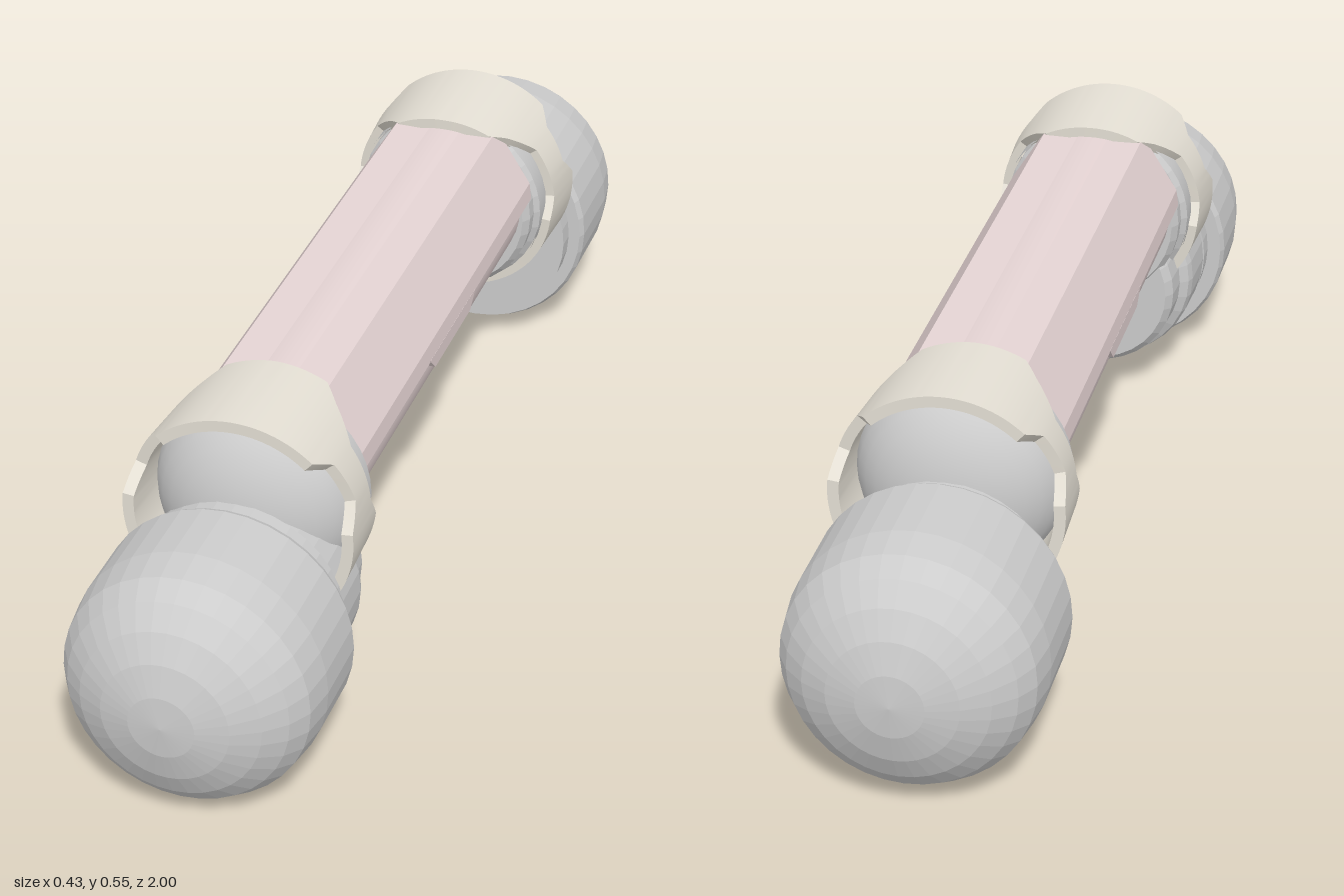
import * as THREE from 'three';
import { toCreasedNormals } from 'three/addons/utils/BufferGeometryUtils.js';

const grey = new THREE.MeshStandardMaterial({ color: 0xcccccc });
const greyFlat = new THREE.MeshStandardMaterial({ color: 0xcccccc, flatShading: true });
const pink = new THREE.MeshStandardMaterial({ color: 0xe5d4d4 });
const beige = new THREE.MeshStandardMaterial({ color: 0xe4dfd4 });

function add(parent, name, geometry, material, x = 0, y = 0, z = 0) {
  const mesh = new THREE.Mesh(geometry, material);
  mesh.name = name;
  mesh.position.set(x, y, z);
  parent.add(mesh);
  return mesh;
}

// Turned solid along z; profile is [radius, z] pairs with rising z
function turned(profile, sides = 32) {
  const g = new THREE.LatheGeometry(profile.map(([r, z]) => new THREE.Vector2(r, z)), sides);
  return g.rotateX(Math.PI / 2);
}

// Extrude an outline along z, from z0 to z1
function prism(points, z0, z1) {
  const shape = new THREE.Shape(points.map(([x, y]) => new THREE.Vector2(x, y)));
  return new THREE.ExtrudeGeometry(shape, { depth: z1 - z0, bevelEnabled: false }).translate(0, 0, z0);
}

// Linear lookup in a list of [angle, value] pairs
function lookup(table, a) {
  for (let i = 1; i < table.length; i++) {
    const [a0, v0] = table[i - 1], [a1, v1] = table[i];
    if (a <= a1) return v0 + ((v1 - v0) * (a - a0)) / (a1 - a0);
  }
  return table[table.length - 1][1];
}

// Ring whose two rims are notched according to the angle from the top
function collarGeometry() {
  const inner = [[0, 0.455], [27, 0.458], [36, 0.49], [54, 0.54], [84, 0.545], [96, 0.52], [180, 0.535]];
  const outer = [[0, 0.657], [42, 0.657], [51, 0.615], [72, 0.61], [84, 0.65], [180, 0.65]];
  const pos = [], index = [], steps = 120;
  for (let i = 0; i <= steps; i++) {
    const t = (i / steps) * 360;
    const a = Math.min(t, 360 - t);
    const s = Math.sin((t * Math.PI) / 180), c = Math.cos((t * Math.PI) / 180);
    const zi = lookup(inner, a), zo = lookup(outer, a);
    for (const [r, z] of [[0.188, zi], [0.193, zo], [0.174, zo], [0.17, zi]]) pos.push(r * s, r * c, z);
    if (i < steps) {
      for (let k = 0; k < 4; k++) {
        const p = i * 4 + k, q = i * 4 + ((k + 1) % 4);
        index.push(p, q, p + 4, q, q + 4, p + 4);
      }
    }
  }
  const g = new THREE.BufferGeometry();
  g.setAttribute('position', new THREE.Float32BufferAttribute(pos, 3));
  g.setIndex(index);
  return toCreasedNormals(g, 0.5);
}

// Domed end cap
function capGeometry(start) {
  const profile = [[0, start], [0.205, start], [0.211, start + 0.012], [0.211, 0.83]];
  for (let i = 1; i <= 6; i++) {
    const a = (i / 6) * Math.PI / 2;
    profile.push([i === 6 ? 0 : 0.21 * Math.cos(a), 0.85 + 0.15 * Math.sin(a)]);
  }
  return turned(profile, 36);
}

function makeEnd(name, shift) {
  const end = new THREE.Group();
  end.name = name;
  add(end, 'collar', collarGeometry(), beige, 0, 0.36, shift);
  // stepped socket between bar and collar
  add(end, 'socketRing', turned([[0, 0.465], [0.15, 0.465], [0.16, 0.48], [0.16, 0.505],
    [0.17, 0.515], [0.17, 0.54], [0, 0.54]]), greyFlat, 0, 0.36, shift);
  // rounded joint inside the collar
  const dome = [[0.173, 0.5]];
  for (let i = 0; i <= 8; i++) {
    const a = (i / 8) * Math.PI / 2;
    dome.push([i === 8 ? 0 : 0.173 * Math.cos(a), 0.535 + 0.12 * Math.sin(a)]);
  }
  add(end, 'jointDome', turned(dome, 40), grey, 0, 0.362, shift);
  add(end, 'washer', turned([[0, 0.65], [0.18, 0.65], [0.18, 0.687], [0, 0.687]], 36),
    greyFlat, 0, 0.22, shift);
  return end;
}

export function createModel() {
  const model = new THREE.Group();
  model.name = 'handleBar';

  // Bar: round underside with an angular upper shell
  const bar = new THREE.Group();
  bar.name = 'bar';
  model.add(bar);
  const under = turned([[0, -0.46], [0.145, -0.46], [0.145, 0.48], [0, 0.48]], 40);
  add(bar, 'barUnderside', toCreasedNormals(under, 0.6), pink, 0, 0.383, 0);
  add(bar, 'upperShell', prism([[-0.157, 0.395], [0.157, 0.395], [0.153, 0.425], [0.09, 0.525],
    [-0.09, 0.525], [-0.153, 0.425]], -0.47, 0.49), pink);
  // small tabs dropping from the shell's lower edge
  for (const side of [-1, 1]) {
    const tab = prism([[-0.14, 0.397], [-0.11, 0.37], [0.09, 0.37], [0.12, 0.397]], -0.012, 0.012);
    tab.rotateY(Math.PI / 2);
    add(bar, 'shellTab', tab, pink, side * 0.145, 0, 0);
  }

  // Front end, with a stepped stub below the bar
  const front = makeEnd('frontEnd', 0);
  add(front, 'frontCap', capGeometry(0.695), greyFlat, 0.002, 0.211, 0);
  add(front, 'lowerStub', turned([[0, 0.47], [0.14, 0.47], [0.152, 0.485], [0.155, 0.535], [0.17, 0.545],
    [0.175, 0.56], [0.178, 0.65], [0, 0.65]]), greyFlat, 0, 0.215, 0);
  model.add(front);

  // Back end, turned around
  const back = makeEnd('backEnd', -0.025);
  add(back, 'backCap', capGeometry(0.67), greyFlat, 0.006, 0.217, 0);
  back.rotation.y = Math.PI;
  model.add(back);

  return model;
}
